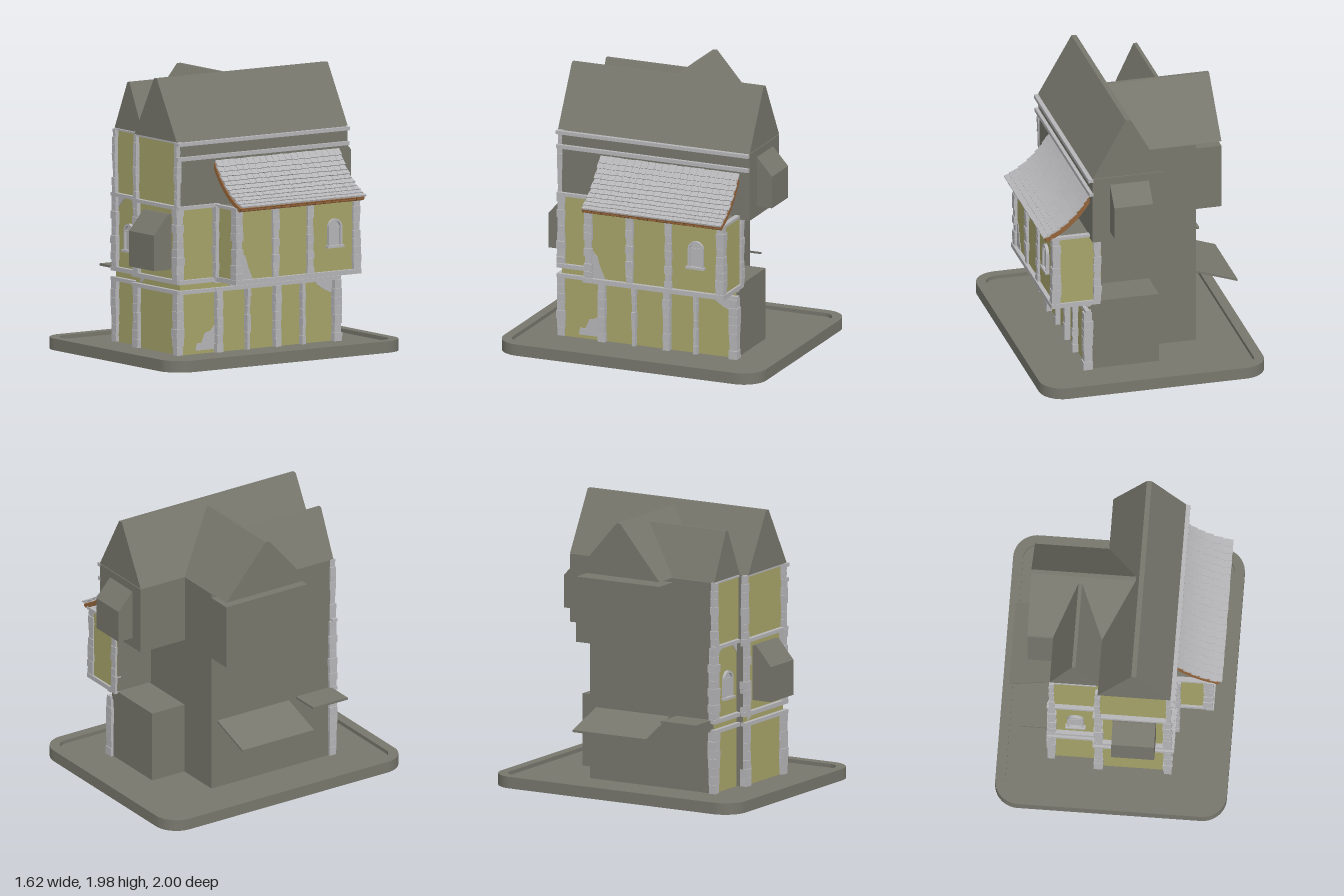
import * as THREE from 'three';
import { mergeGeometries } from 'three/addons/utils/BufferGeometryUtils.js';

export function createModel() {
  const root = new THREE.Group();
  root.name = 'timberedHouse';
  const material = (name, color) => {
    const m = new THREE.MeshStandardMaterial({ color });
    m.name = name;
    return m;
  };
  const grey = material('slateGrey', 0x77776d);
  const plaster = material('ochrePlaster', 0xa7a46a);
  const stone = material('paleStone', 0xb6b6b9);
  const wood = material('brownWood', 0x94643a);

  let seed = 7;
  const rand = () => (seed = (seed * 16807) % 2147483647) / 2147483647;

  const add = (name, geo, mat, parent = root) => {
    const m = new THREE.Mesh(geo, mat);
    m.name = name;
    parent.add(m);
    return m;
  };
  const boxGeo = (x0, x1, y0, y1, z0, z1) =>
    new THREE.BoxGeometry(x1 - x0, y1 - y0, z1 - z0)
      .translate((x0 + x1) / 2, (y0 + y1) / 2, (z0 + z1) / 2);
  const box = (name, mat, ...b) => add(name, boxGeo(...b), mat);
  const shapeOf = pts => new THREE.Shape(pts.map(p => new THREE.Vector2(...p)));
  const extrude = (shape, depth) =>
    new THREE.ExtrudeGeometry(shape, { depth, bevelEnabled: false, curveSegments: 8 });
  // Outline in (x, y), swept along z
  const prismZ = (pts, z0, z1) => extrude(shapeOf(pts), z1 - z0).translate(0, 0, z0);
  // Outline in (z, y), swept along x
  const prismX = (pts, x0, x1) =>
    extrude(shapeOf(pts.map(([z, y]) => [-z, y])), x1 - x0).rotateY(Math.PI / 2).translate(x0, 0, 0);

  // Base tray with a raised rounded rim
  const rounded = (w, d, r, Kind) => {
    const s = new Kind();
    s.moveTo(w, -d + r);
    s.absarc(w - r, d - r, r, 0, Math.PI / 2);
    s.absarc(-w + r, d - r, r, Math.PI / 2, Math.PI);
    s.absarc(-w + r, -d + r, r, Math.PI, Math.PI * 1.5);
    s.absarc(w - r, -d + r, r, Math.PI * 1.5, Math.PI * 2);
    return s;
  };
  const rim = rounded(0.81, 1, 0.17, THREE.Shape);
  rim.holes.push(rounded(0.74, 0.93, 0.1, THREE.Path));
  add('baseRim', extrude(rim, 0.082).rotateX(-Math.PI / 2), grey);
  add('baseFloor', extrude(rounded(0.805, 0.995, 0.165, THREE.Shape), 0.055).rotateX(-Math.PI / 2), grey);

  // Wall blocks; face order is +x, -x, +y, -y, +z, -z
  const front = [grey, grey, grey, grey, plaster, grey];
  const frontSide = [plaster, grey, grey, grey, plaster, grey];
  box('lowerMainWalls', frontSide, -0.13, 0.405, 0.05, 1.09, -0.4, 0.66);
  box('lowerWestWalls', front, -0.44, -0.13, 0.05, 1.09, -0.4, 0.61);
  box('rearAnnex', [plaster, grey, grey, grey, grey, grey], -0.1, 0.405, 0.05, 0.57, -0.67, -0.4);
  box('upperMainWalls', front, -0.105, 0.405, 1.07, 1.555, -0.77, 0.66);
  box('upperWestWalls', front, -0.44, -0.105, 1.09, 1.555, -0.4, 0.61);
  box('crossWingWalls', grey, -0.625, -0.105, 1.06, 1.525, -0.4, 0.28);
  box('jettyWalls', [plaster, grey, grey, plaster, plaster, plaster], 0.32, 0.655, 0.58, 1.09, -0.68, 0.36);

  // Roofs, each with a narrow flat ridge
  const gable = (a, b, r0, r1, top) => [[a, 1.56], [b, 1.56], [r1, top], [r0, top]];
  add('mainRoof', prismZ(gable(-0.105, 0.405, 0.13, 0.165, 1.98), -0.77, 0.69), grey);
  add('westGableRoof', prismZ(gable(-0.445, -0.105, -0.29, -0.265, 1.9), 0, 0.62), grey);
  add('crossRoof', prismX(gable(-0.4, 0.28, -0.07, -0.04, 1.94), -0.625, 0.11), grey);

  // Projecting bays and lean-to awnings
  add('frontBay', prismX([[0.65, 0.65], [0.81, 0.65], [0.81, 0.9], [0.69, 1.04], [0.65, 1.04]], 0, 0.3), grey);
  add('rearBay', prismX([[-0.76, 1.14], [-0.885, 1.14], [-0.885, 1.37], [-0.77, 1.5], [-0.76, 1.5]], 0, 0.28), grey);
  add('slopingAwning', prismZ([[-0.755, 0.445], [-0.43, 0.555], [-0.43, 0.57], [-0.755, 0.46]], -0.35, 0.25), grey);
  box('flatAwning', grey, -0.655, -0.43, 0.562, 0.578, 0.31, 0.6);

  // Posts made of uneven stacked stones
  const post = (x, z, w, d, y0, y1) => {
    const n = Math.max(2, Math.round((y1 - y0) / 0.06)), h = (y1 - y0) / n, parts = [];
    for (let i = 0; i < n; i++) {
      const k = 0.85 + 0.3 * rand();
      parts.push(new THREE.BoxGeometry(w * k, h * 0.97, d * k)
        .rotateZ((rand() - 0.5) * 0.06)
        .translate(x + (rand() - 0.5) * 0.006, y0 + h * (i + 0.5), z));
    }
    add('stonePost', mergeGeometries(parts), stone);
  };
  for (const [y0, y1] of [[0.055, 0.49], [0.575, 1.09]]) {
    post(-0.432, 0.61, 0.058, 0.06, y0, y1);
    post(-0.1, 0.665, 0.058, 0.05, y0, y1);
    post(0.385, 0.665, 0.06, 0.06, y0, y1);
  }
  post(-0.432, 0.615, 0.032, 0.045, 1.1, 1.555);
  post(-0.108, 0.665, 0.036, 0.045, 1.1, 1.555);
  post(0.392, 0.675, 0.036, 0.036, 1.1, 1.555);
  // Side posts, ground floor and jetty
  for (const [z, w] of [[0.345, 0.055], [0.1, 0.026], [-0.15, 0.048], [-0.37, 0.026], [-0.66, 0.058]])
    post(0.415, z, 0.06, w, 0.055, 0.49);
  for (const [z, w] of [[0.345, 0.055], [0.03, 0.05], [-0.265, 0.05], [-0.66, 0.058]])
    post(0.645, z, 0.06, w, 0.58, 1.09);
  post(0.43, 0.37, 0.045, 0.04, 0.58, 1.09);
  post(0.35, -0.675, 0.05, 0.04, 0.58, 1.09);

  // Horizontal stone beams around front and side
  for (const [y0, y1] of [[0.485, 0.512], [0.555, 0.585], [1.08, 1.105]]) {
    box('westFrontBeam', stone, -0.465, -0.13, y0, y1, 0.6, 0.64);
    box('mainFrontBeam', stone, -0.14, 0.42, y0, y1, 0.65, 0.692);
    box('cornerSideBeam', stone, 0.395, 0.43, y0, y1, 0.34, 0.69);
  }
  box('westTopBeam', stone, -0.445, -0.12, 1.545, 1.558, 0.6, 0.625);
  box('mainTopBeam', stone, -0.12, 0.41, 1.545, 1.558, 0.65, 0.68);
  box('groundSideBeam', stone, 0.395, 0.435, 0.485, 0.512, -0.69, 0.38);
  box('groundUpperSideBeam', stone, 0.395, 0.43, 0.545, 0.575, -0.69, 0.38);
  for (const [y0, y1] of [[0.557, 0.59], [1.08, 1.1]]) {
    box('jettySideBeam', stone, 0.635, 0.685, y0, y1, -0.69, 0.38);
    box('jettyFrontBeam', stone, 0.405, 0.68, y0, y1, 0.34, 0.375);
    box('jettyRearBeam', stone, 0.33, 0.68, y0, y1, -0.695, -0.66);
  }
  for (const z of [0.03, -0.265]) box('jettyFloorBeam', stone, 0.4, 0.66, 0.56, 0.585, z - 0.02, z + 0.02);
  for (const z of [0.23, -0.05, -0.27, -0.48]) box('shortSideStrut', stone, 0.395, 0.42, 0.51, 0.55, z - 0.015, z + 0.015);

  // Cornice below the main eave
  box('upperCornice', stone, 0.4, 0.435, 1.53, 1.555, -0.77, 0.695);
  box('lowerCornice', stone, 0.4, 0.43, 1.425, 1.452, -0.77, 0.695);

  // Patches of bare stone where plaster is missing
  const sidePatch = (pts, x) => add('bareStonePatch', prismX(pts, x, x + 0.005), stone);
  sidePatch([[0.53, 0.08], [0.37, 0.08], [0.37, 0.25], [0.4, 0.21], [0.45, 0.2], [0.48, 0.13], [0.52, 0.13]], 0.404);
  sidePatch([[-0.48, 0.49], [-0.64, 0.49], [-0.64, 0.39], [-0.57, 0.42], [-0.51, 0.46]], 0.404);
  sidePatch([[0.32, 0.59], [0.22, 0.59], [0.26, 0.68], [0.28, 0.75], [0.32, 0.79]], 0.654);
  const frontPatch = (pts, z) => add('bareStonePatch', prismZ(pts, z, z + 0.005), stone);
  frontPatch([[-0.41, 1.08], [-0.33, 1.08], [-0.41, 1.0]], 0.609);
  frontPatch([[-0.2, 1.08], [-0.12, 1.08], [-0.12, 1.0]], 0.609);
  frontPatch([[-0.07, 0.51], [-0.01, 0.555], [-0.07, 0.555]], 0.659);

  // Arched windows
  const arch = (w, h, y, Kind) => {
    const s = new Kind();
    s.moveTo(-w, y);
    s.lineTo(w, y);
    s.lineTo(w, h);
    s.absarc(0, h, w, 0, Math.PI);
    s.lineTo(-w, y);
    return s;
  };
  const makeWindow = (x, y, z, angle) => {
    const g = new THREE.Group();
    g.name = 'archedWindow';
    const frame = arch(0.058, 0.14, 0, THREE.Shape);
    frame.holes.push(arch(0.042, 0.14, 0.012, THREE.Path));
    add('windowFrame', extrude(frame, 0.022), stone, g);
    add('windowPane', extrude(arch(0.043, 0.14, 0.01, THREE.Shape), 0.006), stone, g);
    add('windowSill', boxGeo(-0.07, 0.07, -0.005, 0.012, 0, 0.032), stone, g);
    add('windowTransom', boxGeo(-0.042, 0.042, 0.134, 0.146, 0, 0.014), stone, g);
    g.position.set(x, y, z);
    g.rotation.y = angle;
    root.add(g);
  };
  makeWindow(-0.265, 0.705, 0.61, 0);
  makeWindow(0.655, 0.76, -0.475, Math.PI / 2);

  // Swept jetty roof: curved boards with rows of overlapping tiles
  const sweep = new THREE.QuadraticBezierCurve(
    new THREE.Vector2(0.405, 1.39), new THREE.Vector2(0.53, 1.18), new THREE.Vector2(0.725, 1.1));
  const line = sweep.getPoints(12);
  const band = [...line.map(p => [p.x, p.y]), ...line.reverse().map(p => [p.x - 0.016, p.y - 0.024])];
  add('roofBoards', prismZ(band, -0.69, 0.37), wood);
  const tiles = [], rows = 11, cols = 20, pitch = 1.06 / cols;
  for (let r = 0; r < rows; r++) {
    const t = (r + 0.55) / rows, p = sweep.getPointAt(t), d = sweep.getTangentAt(t);
    for (let c = 0; c < cols; c++) {
      const z = -0.695 + pitch * (c + 0.5) + (r % 2 ? 0.006 : 0);
      tiles.push(new THREE.BoxGeometry(0.05 + 0.008 * rand(), 0.011, pitch * (0.93 + 0.06 * rand()))
        .rotateZ(Math.atan2(d.y, d.x) + 0.14 + 0.05 * rand())
        .translate(p.x + 0.007, p.y + 0.012, z));
    }
  }
  add('roofTiles', mergeGeometries(tiles), stone);
  // Board ends along the eave
  for (let i = 0; i < 15; i++) {
    const z = -0.69 + i * 0.0707;
    box('eaveBoard', wood, 0.69, 0.722, 1.08 + 0.006 * rand(), 1.102, z, z + 0.062);
  }
  return root;
}
